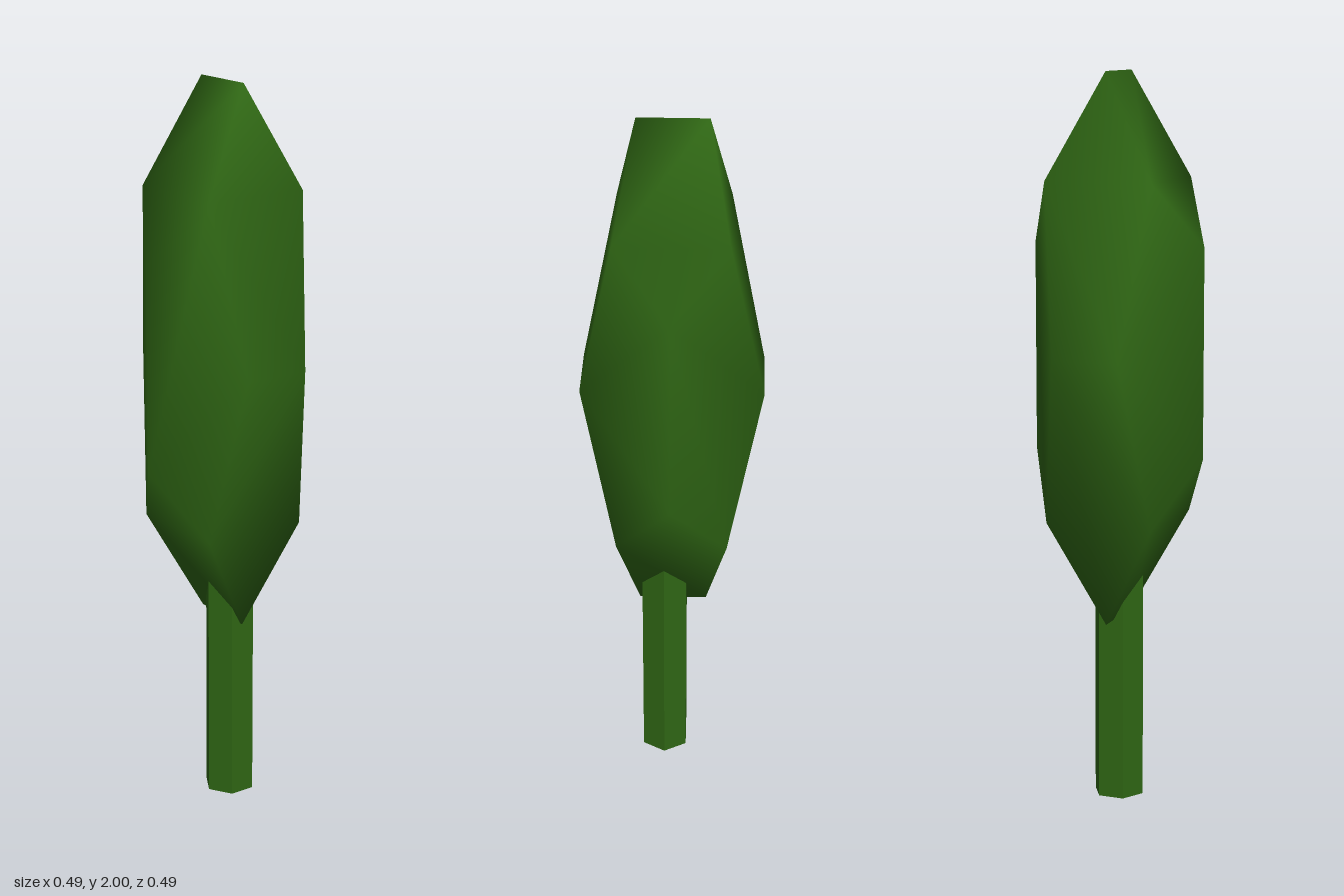
import * as THREE from 'three';
import { mergeVertices } from 'three/addons/utils/BufferGeometryUtils.js';

const GREEN = 0x2f6614;

// Stretched dodecahedron with shared vertices, so it shades smoothly
function createCrown() {
  const phi = (1 + Math.sqrt(5)) / 2;
  const raw = new THREE.DodecahedronGeometry(Math.sqrt(3), 0); // reaches phi along each axis
  raw.deleteAttribute('normal');
  raw.deleteAttribute('uv');
  const geometry = mergeVertices(raw, 1e-4);
  geometry.rotateY(Math.PI / 2); // ridge at top and bottom runs front to back
  geometry.scale(0.243 / phi, 0.744 / phi, 0.243 / phi);
  geometry.computeVertexNormals();
  const crown = new THREE.Mesh(geometry, new THREE.MeshStandardMaterial({ color: GREEN }));
  crown.name = 'crown';
  crown.position.y = 1.256;
  return crown;
}

// Six-sided trunk, slightly off centre, ending inside the crown
function createTrunk() {
  const height = 0.8;
  const geometry = new THREE.CylinderGeometry(0.071, 0.071, height, 6, 1, false, Math.PI / 2);
  const trunk = new THREE.Mesh(
    geometry,
    new THREE.MeshStandardMaterial({ color: GREEN, flatShading: true })
  );
  trunk.name = 'trunk';
  trunk.position.set(0.008, height / 2, 0.023);
  return trunk;
}

export function createModel() {
  const tree = new THREE.Group();
  tree.name = 'tree';
  tree.add(createTrunk(), createCrown());
  return tree;
}
